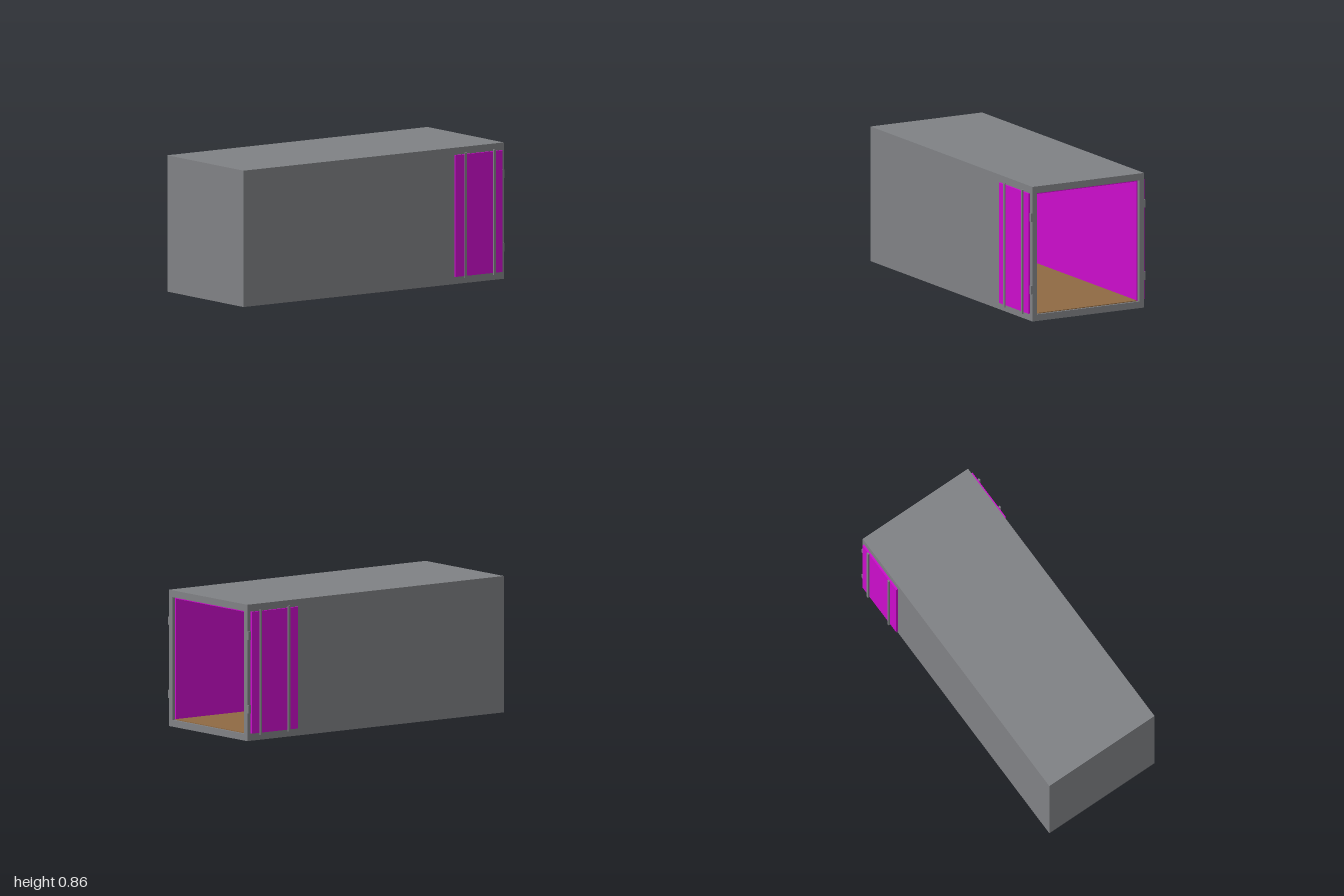
import * as THREE from 'three';

const mat = (name, color) => {
  const m = new THREE.MeshStandardMaterial({ color });
  m.name = name;
  return m;
};

export function createModel() {
  const group = new THREE.Group();
  group.name = 'shippingContainer';
  const steel = mat('greySteel', 0x808285);
  const paint = mat('magentaPaint', 0xcc0dcc);
  const wood = mat('brownWood', 0x906a43);

  const W = 0.4, H = 0.855;

  // box from its minimum and maximum corners
  function box(name, material, [x0, y0, z0], [x1, y1, z1], parent = group) {
    const mesh = new THREE.Mesh(new THREE.BoxGeometry(x1 - x0, y1 - y0, z1 - z0), material);
    mesh.position.set((x0 + x1) / 2, (y0 + y1) / 2, (z0 + z1) / 2);
    mesh.name = name;
    parent.add(mesh);
  }

  // rectangular tube along z: outer rectangle with a rectangular opening
  function sleeve(name, material, outer, inner, z0, z1) {
    const corners = ([x, y0, y1]) => [[-x, y0], [x, y0], [x, y1], [-x, y1]].map(p => new THREE.Vector2(...p));
    const shape = new THREE.Shape(corners(outer));
    shape.holes.push(new THREE.Path(corners(inner).reverse()));
    const geo = new THREE.ExtrudeGeometry(shape, { depth: z1 - z0, bevelEnabled: false });
    const mesh = new THREE.Mesh(geo, material);
    mesh.position.z = z0;
    mesh.name = name;
    group.add(mesh);
  }

  // steel body, open at the back
  sleeve('bodyFrame', steel, [W, 0, H], [0.366, 0.042, 0.812], -1, 0.97);
  box('frontWall', steel, [-W, 0, 0.97], [W, H, 1]);

  // painted interior
  for (const s of [-1, 1]) {
    const x = [s * 0.356, s * 0.366].sort((a, b) => a - b);
    box('sideLining', paint, [x[0], 0.042, -0.98], [x[1], 0.812, 0.97]);
  }
  box('ceilingLining', paint, [-0.356, 0.802, -0.98], [0.356, 0.812, 0.97]);
  box('frontLining', paint, [-0.356, 0.042, 0.96], [0.356, 0.802, 0.97]);
  box('floorBoards', wood, [-0.356, 0.042, -0.985], [0.356, 0.047, 0.96]);

  // doors folded back flat against the sides
  for (const s of [1, -1]) {
    const door = new THREE.Group();
    door.name = s > 0 ? 'leftDoor' : 'rightDoor';
    group.add(door);
    const part = (name, m, x0, x1, y0, y1, z0, z1) =>
      box(name, m, [Math.min(s * x0, s * x1), y0, z0], [Math.max(s * x0, s * x1), y1, z1], door);
    part('doorPanel', paint, 0.405, 0.417, 0.047, 0.81, -0.978, -0.617);
    for (const z of [-0.691, -0.912])
      part('lockingBar', steel, 0.417, 0.427, 0.035, 0.823, z - 0.007, z + 0.007);
    for (const y of [0.2, 0.66])
      part('hinge', steel, 0.4, 0.41, y - 0.026, y + 0.026, -1, -0.976);
  }
  return group;
}
